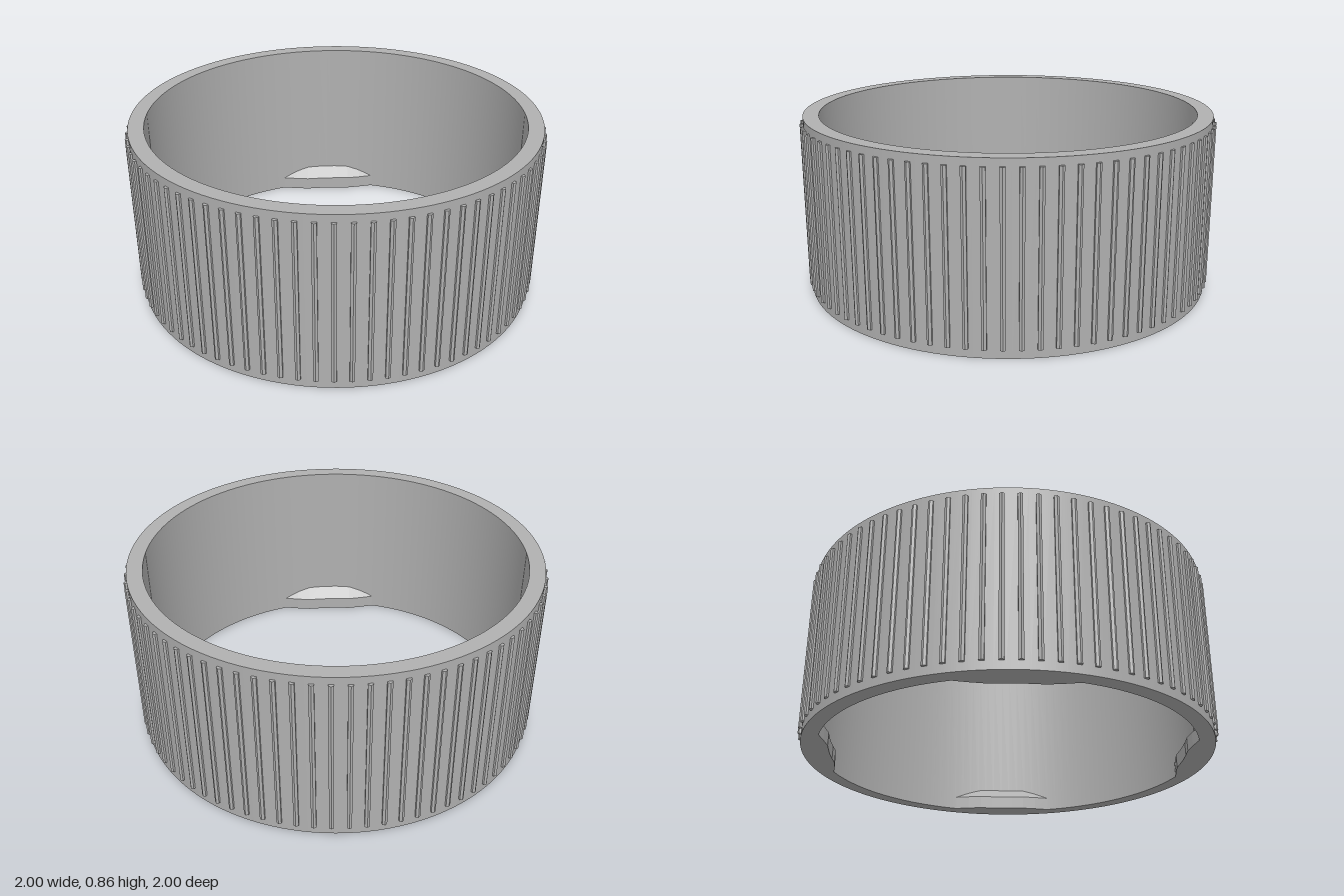
import * as THREE from 'three';

const HEIGHT = 0.855, OUTER = 0.985, INNER = 0.91;

// Smooth-walled ring with sharp rims, extruded upward
function makeBand() {
  const shape = new THREE.Shape().absarc(0, 0, OUTER, 0, Math.PI * 2, false);
  shape.holes.push(new THREE.Path().absarc(0, 0, INNER, 0, Math.PI * 2, true));
  const parts = new THREE.Group();
  const wall = (r, flip) => {
    const g = new THREE.CylinderGeometry(r, r, HEIGHT, 128, 1, true);
    g.translate(0, HEIGHT / 2, 0);
    if (flip) { // turn the inner wall to face the axis
      const idx = g.index.array;
      for (let i = 0; i < idx.length; i += 3) [idx[i], idx[i + 1]] = [idx[i + 1], idx[i]];
      const n = g.attributes.normal;
      for (let i = 0; i < n.count; i++) n.setXYZ(i, -n.getX(i), 0, -n.getZ(i));
    }
    return g;
  };
  const rim = (y, up) => new THREE.RingGeometry(INNER, OUTER, 128)
    .rotateX(up ? -Math.PI / 2 : Math.PI / 2).translate(0, y, 0);
  return { parts, pieces: {
    outerWall: wall(OUTER, false), innerWall: wall(INNER, true),
    topRim: rim(HEIGHT, true), bottomRim: rim(0, false),
  } };
}

// Lug on the inside of the lower rim: upright face, then a slope back to the wall
function makeLugGeometry() {
  const profile = [[-0.26, 0.872], [-0.19, 0.859], [-0.12, 0.85], [-0.06, 0.854],
    [0, 0.856], [0.06, 0.854], [0.12, 0.85], [0.19, 0.859], [0.26, 0.872]];
  const sections = profile.map(([x, z]) => {
    const wallZ = Math.sqrt(0.912 ** 2 - x * x);
    const top = 0.066;
    return [[x, 0, wallZ], [x, 0, z], [x, top, z], [x, top + wallZ - z, wallZ]];
  });
  const pos = [];
  for (let i = 0; i < sections.length - 1; i++) {
    const a = sections[i], b = sections[i + 1];
    for (let j = 0; j < 3; j++) {
      pos.push(...a[j], ...a[j + 1], ...b[j], ...b[j], ...a[j + 1], ...b[j + 1]);
    }
  }
  const g = new THREE.BufferGeometry();
  g.setAttribute('position', new THREE.Float32BufferAttribute(pos, 3));
  g.computeVertexNormals();
  return g;
}

export function createModel() {
  const grey = new THREE.MeshStandardMaterial({ color: 0xb0b0b0 });
  grey.name = 'grey';
  const model = new THREE.Group();
  model.name = 'ribbedRing';

  // Band
  const { parts: band, pieces } = makeBand();
  band.name = 'band';
  for (const [name, geometry] of Object.entries(pieces)) {
    const mesh = new THREE.Mesh(geometry, grey);
    mesh.name = name;
    band.add(mesh);
  }
  model.add(band);

  // Grip ribs around the outside
  const ribs = new THREE.Group();
  ribs.name = 'gripRibs';
  const ribGeometry = new THREE.CylinderGeometry(0.013, 0.013, 0.78, 6).toNonIndexed();
  ribGeometry.computeVertexNormals();
  const COUNT = 80;
  for (let i = 0; i < COUNT; i++) {
    const a = 0.012 + (i / COUNT) * Math.PI * 2;
    const rib = new THREE.Mesh(ribGeometry, grey);
    rib.name = 'rib';
    rib.position.set(Math.sin(a) * 0.987, 0.43, Math.cos(a) * 0.987);
    rib.rotation.y = a;
    ribs.add(rib);
  }
  model.add(ribs);

  // Four inner lugs
  const lugGeometry = makeLugGeometry();
  for (let i = 0; i < 4; i++) {
    const lug = new THREE.Mesh(lugGeometry, grey);
    lug.name = 'innerLug';
    lug.rotation.y = i * Math.PI / 2;
    model.add(lug);
  }
  return model;
}
